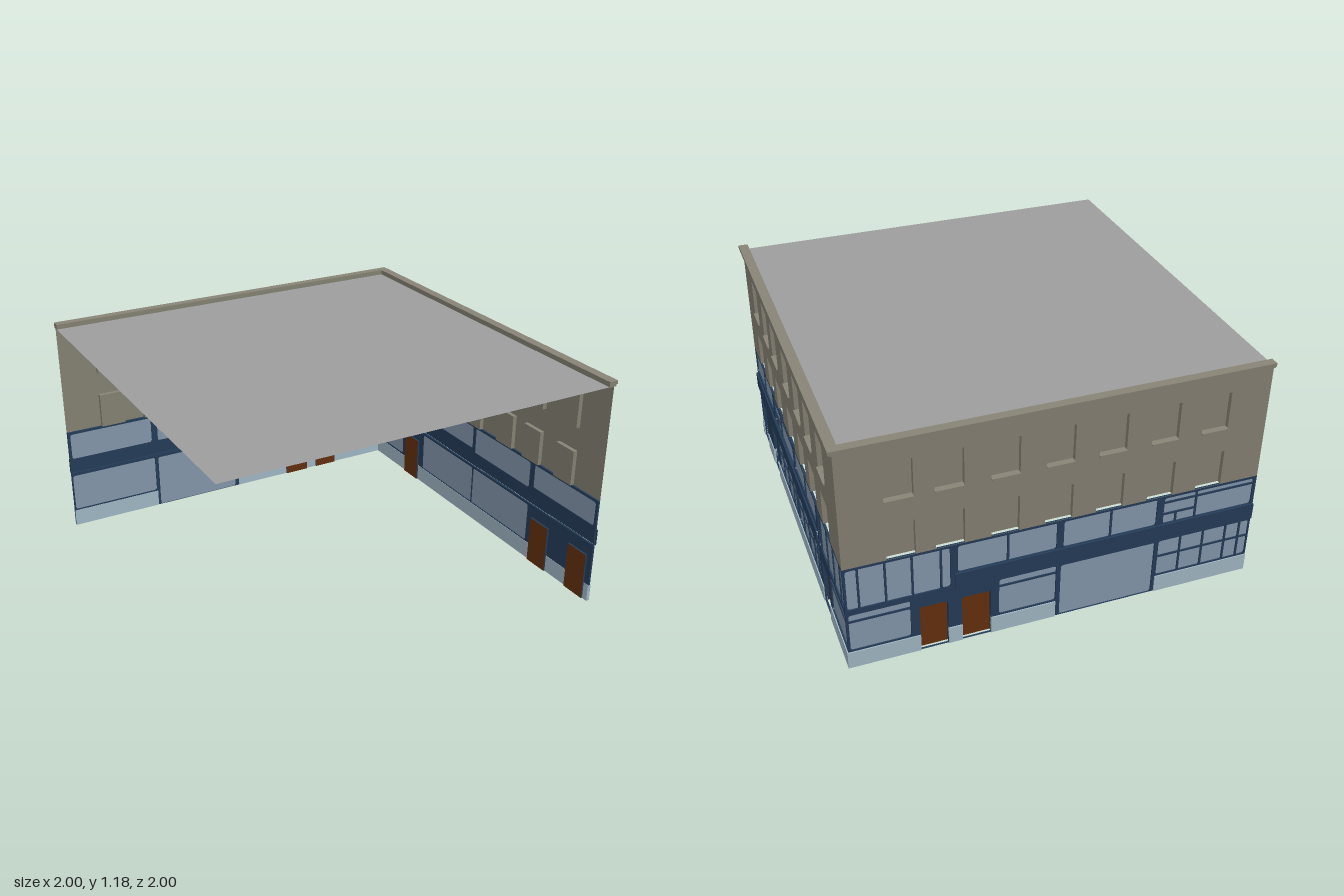
import * as THREE from 'three';

const makeMaterial = (name, color) => {
  const m = new THREE.MeshStandardMaterial({ color, side: THREE.DoubleSide });
  m.name = name;
  return m;
};

export function createModel() {
  const stone = makeMaterial('stone', 0x888476);
  const navy = makeMaterial('navy paint', 0x253d5a);
  const glass = makeMaterial('glass', 0x879baf);
  const pale = makeMaterial('pale plinth', 0xa5bdca);
  const brown = makeMaterial('brown door', 0x66300f);
  const grey = makeMaterial('grey roof', 0x9d9d9d);

  const WALL = 0.98, EAVES = 1.15, SHOP_TOP = 0.56, GLASS_Z = -0.007;

  const add = (parent, name, geometry, material) => {
    const mesh = new THREE.Mesh(geometry, material);
    mesh.name = name;
    parent.add(mesh);
    return mesh;
  };

  // Box given by its limits
  const box = (parent, name, mat, u0, u1, y0, y1, z0, z1) =>
    add(parent, name, new THREE.BoxGeometry(u1 - u0, y1 - y0, z1 - z0), mat)
      .position.set((u0 + u1) / 2, (y0 + y1) / 2, (z0 + z1) / 2);

  const outline = (target, [u0, u1, y0, y1], r = 0) => {
    if (r === 0) {
      target.moveTo(u0, y0).lineTo(u1, y0).lineTo(u1, y1).lineTo(u0, y1).closePath();
      return target;
    }
    target.moveTo(u0 + r, y0).lineTo(u1 - r, y0);
    target.quadraticCurveTo(u1, y0, u1, y0 + r).lineTo(u1, y1 - r);
    target.quadraticCurveTo(u1, y1, u1 - r, y1).lineTo(u0 + r, y1);
    target.quadraticCurveTo(u0, y1, u0, y1 - r).lineTo(u0, y0 + r);
    target.quadraticCurveTo(u0, y0, u0 + r, y0);
    return target;
  };

  // Open recess: back panel, sides, top and optional floor
  const recess = (parent, name, [u0, u1, y0, y1], depth, panelMat, sideMat, floor) => {
    const g = new THREE.Group();
    g.name = name;
    parent.add(g);
    const w = u1 - u0, h = y1 - y0, cu = (u0 + u1) / 2, cy = (y0 + y1) / 2;
    add(g, 'panel', new THREE.PlaneGeometry(w, h), panelMat).position.set(cu, cy, -depth);
    for (const u of [u0, u1]) {
      const side = add(g, 'reveal', new THREE.PlaneGeometry(depth, h), sideMat);
      side.rotation.y = u === u0 ? Math.PI / 2 : -Math.PI / 2;
      side.position.set(u, cy, -depth / 2);
    }
    for (const y of floor ? [y0, y1] : [y1]) {
      const level = add(g, 'reveal', new THREE.PlaneGeometry(w, depth), sideMat);
      level.rotation.x = y === y1 ? Math.PI / 2 : -Math.PI / 2;
      level.position.set(cu, y, -depth / 2);
    }
  };

  // One street front; s is the horizontal world coordinate, turned into local u = -s
  const facade = (name, spec) => {
    const g = new THREE.Group();
    g.name = name;
    const flip = ([a, b, y0, y1]) => [-b, -a, y0, y1];
    const [left, right] = [-spec.range[1], -spec.range[0]];

    // Upper masonry with two rows of recessed windows
    const wall = outline(new THREE.Shape(), [left, right, SHOP_TOP, EAVES]);
    for (const c of spec.windows) {
      for (const [y0, y1, sill] of [[0.87, 1.057, true], [SHOP_TOP + 0.002, 0.745, false]]) {
        const r = flip([c - 0.065, c + 0.065, y0, y1]);
        wall.holes.push(outline(new THREE.Path(), r));
        recess(g, 'upperWindow', r, 0.022, stone, stone, sill);
        if (sill) box(g, 'windowSill', stone, r[0], r[1], y0 - 0.008, y0, -0.002, 0.008);
      }
    }
    add(g, 'upperWall', new THREE.ShapeGeometry(wall), stone);

    // Painted shop front with openings
    const front = outline(new THREE.Shape(), [left, right, 0, SHOP_TOP]);
    for (const { rect, v = [], h = [], bars = [] } of spec.glazing) {
      const r = flip(rect);
      front.holes.push(outline(new THREE.Path(), r, 0.014));
      add(g, 'shopWindow', new THREE.ShapeGeometry(outline(new THREE.Shape(), r, 0.014)), glass)
        .position.z = GLASS_Z;
      const all = [
        ...v.map((s) => [s - 0.005, s + 0.005, rect[2], rect[3]]),
        ...h.map((y) => [rect[0], rect[1], y - 0.005, y + 0.005]),
        ...bars,
      ];
      for (const b of all) box(g, 'glazingBar', navy, ...flip(b), GLASS_Z + 0.0005, -0.001);
    }
    for (const [a, b] of spec.doors) {
      const r = flip([a, b, 0.001, 0.25]);
      front.holes.push(outline(new THREE.Path(), r));
      recess(g, 'door', r, 0.02, brown, navy, false);
    }
    // Sign board stands in front of an open slot
    const sign = flip([...spec.sign, 0.315, 0.4]);
    front.holes.push(outline(new THREE.Path(), [sign[0] + 0.004, sign[1] - 0.004, 0.318, 0.393]));
    box(g, 'signBoard', navy, ...sign, 0.005, 0.009);
    box(g, 'signTop', navy, sign[0], sign[1], 0.395, 0.4, -0.001, 0.006);
    const sheet = new THREE.ExtrudeGeometry(front, { depth: 0.01, bevelEnabled: false, curveSegments: 4 });
    add(g, 'shopFront', sheet.translate(0, 0, -0.01), navy);

    for (const [a, b] of spec.plinths) box(g, 'plinth', pale, -b, -a, 0, 0.09, -0.012, 0.005);
    return g;
  };

  const model = new THREE.Group();
  model.name = 'cornerBuilding';

  // Side street front, s = z
  const side = facade('sideFacade', {
    range: [-WALL, 1],
    windows: [0.743, 0.492, 0.273, 0, -0.245, -0.468, -0.715],
    glazing: [
      { rect: [0.525, 0.985, 0.42, 0.547], v: [0.755] },
      {
        rect: [0.02, 0.49, 0.402, 0.547], v: [0.325], h: [0.52],
        bars: [[0.325, 0.49, 0.45, 0.46], [0.425, 0.435, 0.402, 0.455]],
      },
      { rect: [-0.47, -0.003, 0.42, 0.547], v: [-0.24] },
      { rect: [-0.968, -0.503, 0.33, 0.547], v: [-0.545, -0.675, -0.795, -0.915] },
      { rect: [0.016, 0.497, 0.095, 0.305], v: [0.38, 0.258, 0.137, 0.06], h: [0.208] },
      { rect: [-0.475, 0.008, 0.095, 0.305], v: [-0.1, -0.225, -0.345, -0.425], h: [0.208] },
      { rect: [-0.972, -0.69, 0.098, 0.305], h: [0.26] },
    ],
    doors: [[0.835, 0.968], [0.538, 0.675], [-0.652, -0.518]],
    sign: [-0.485, 1],
    plinths: [[0.968, 1], [0.675, 0.835], [-0.518, 0.538], [-0.985, -0.652]],
  });
  side.rotation.y = Math.PI / 2;
  side.position.x = WALL;

  // Back street front, s = x
  const back = facade('backFacade', {
    range: [-1, WALL],
    windows: [-0.74, -0.495, -0.245, 0, 0.25, 0.5, 0.72],
    glazing: [
      {
        rect: [-0.985, -0.525, 0.402, 0.547], v: [-0.69], h: [0.52],
        bars: [[-0.69, -0.525, 0.45, 0.46], [-0.595, -0.585, 0.402, 0.455]],
      },
      { rect: [-0.49, -0.03, 0.402, 0.547], v: [-0.26] },
      { rect: [0.003, 0.468, 0.402, 0.547], v: [0.235] },
      { rect: [0.503, 0.968, 0.33, 0.547], v: [0.545, 0.675, 0.795, 0.915] },
      { rect: [-0.993, -0.515, 0.097, 0.3], v: [-0.63, -0.75, -0.87, -0.945], h: [0.208] },
      { rect: [-0.495, -0.022, 0.001, 0.297] },
      { rect: [0, 0.276, 0.097, 0.3], h: [0.26] },
      { rect: [0.69, 0.968, 0.097, 0.3], h: [0.26] },
    ],
    doors: [[0.315, 0.452], [0.517, 0.648]],
    sign: [-1, 0.485],
    plinths: [[-1, -0.51], [0, 0.315], [0.452, 0.517], [0.648, 0.985]],
  });
  back.rotation.y = Math.PI;
  back.position.z = -WALL;
  model.add(side, back);

  // Stepped cornice along both street fronts
  for (const [y0, y1, out] of [[EAVES, 1.16, 0.992], [1.16, 1.177, 1]]) {
    box(model, 'sideCornice', stone, 0.953, out, y0, y1, -out, 1);
    box(model, 'backCornice', stone, -1, 0.953, y0, y1, -out, -0.957);
  }

  // Flat roof sheet
  const roof = add(model, 'roof', new THREE.PlaneGeometry(1.96, 1.96), grey);
  roof.rotation.x = -Math.PI / 2;
  roof.position.set(-0.02, EAVES + 0.002, 0.02);

  return model;
}
